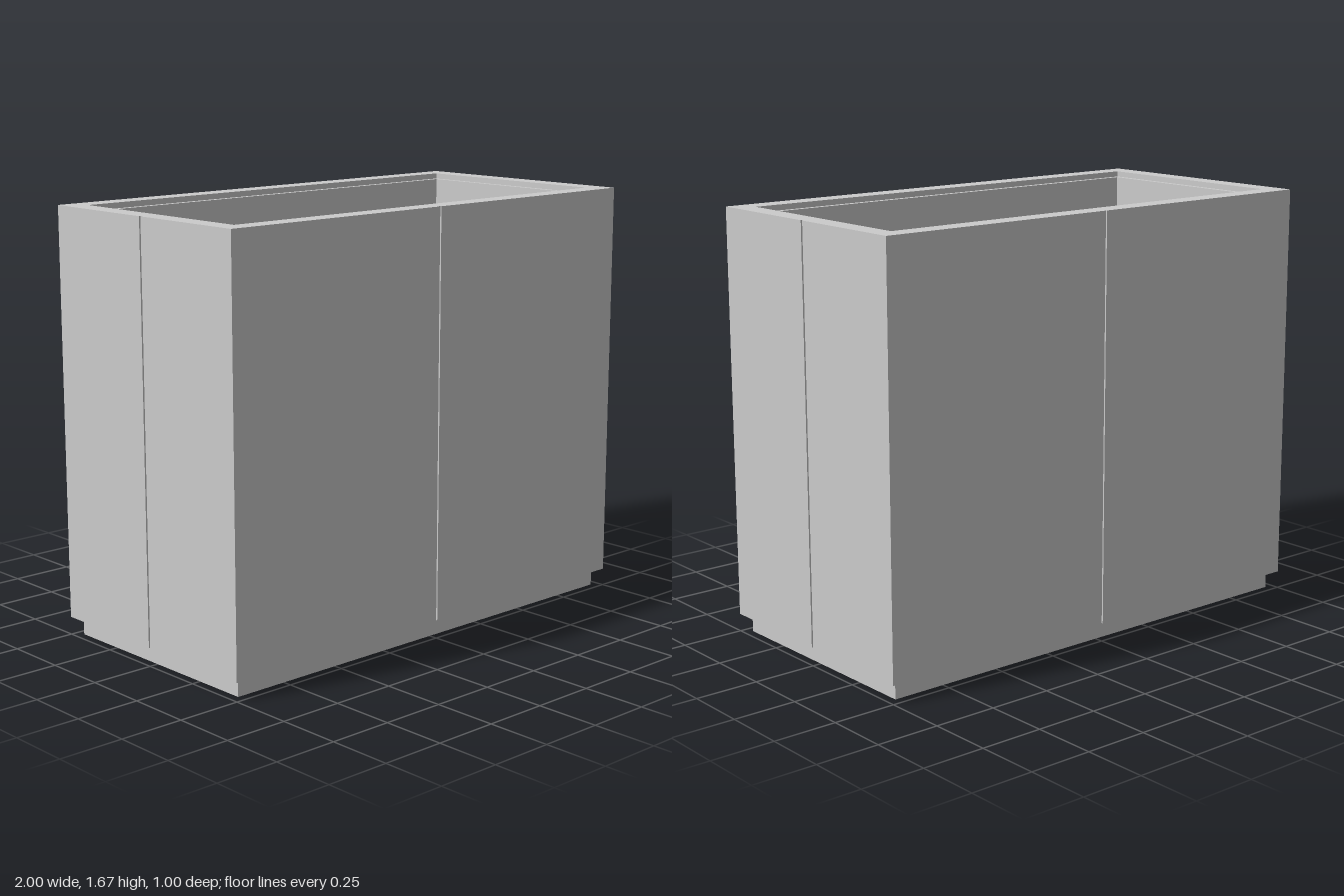
import * as THREE from 'three';

const material = new THREE.MeshStandardMaterial({ color: 0xcccccc, flatShading: true });

// Rectangular path, as an opening in the wall outline
function rectPath(hx, hz) {
  return new THREE.Path([[-hx, -hz], [-hx, hz], [hx, hz], [hx, -hz]].map(([x, z]) => new THREE.Vector2(x, z)));
}

// Outer outline with a narrow seam groove in the middle of every side
function groovedOutline(hx, hz) {
  const w = 0.005, d = 0.006;
  const half = [
    [hx, -hz], [hx, -w], [hx - d, -w], [hx - d, w], [hx, w],
    [hx, hz], [w, hz], [w, hz - d], [-w, hz - d], [-w, hz],
  ];
  // The other half is the same run turned by 180 degrees
  const points = [...half, ...half.map(([x, z]) => [-x, -z])];
  return new THREE.Shape(points.map(([x, z]) => new THREE.Vector2(x, z)));
}

// Upright hollow wall section between two heights
function wallSection(name, openX, openZ, y0, y1) {
  const shape = groovedOutline(1, 0.5);
  shape.holes.push(rectPath(openX, openZ));
  const geometry = new THREE.ExtrudeGeometry(shape, { depth: y1 - y0, bevelEnabled: false });
  geometry.rotateX(-Math.PI / 2).translate(0, y0, 0);
  const mesh = new THREE.Mesh(geometry, material);
  mesh.name = name;
  return mesh;
}

function slab(name, width, depth, y0, y1) {
  const mesh = new THREE.Mesh(new THREE.BoxGeometry(width, y1 - y0, depth), material);
  mesh.position.y = (y0 + y1) / 2;
  mesh.name = name;
  return mesh;
}

export function createModel() {
  const group = new THREE.Group();
  group.name = 'planterBox';
  const bottom = 0.07, ledge = 1.645, top = 1.667;
  group.add(
    slab('plinth', 1.93, 0.93, 0, bottom),
    slab('floor', 1.8, 0.8, bottom, 0.1),
    wallSection('walls', 0.9, 0.4, bottom, ledge),
    // Wider opening at the top leaves a small inner ledge
    wallSection('rim', 0.92, 0.42, ledge, top),
  );
  return group;
}
